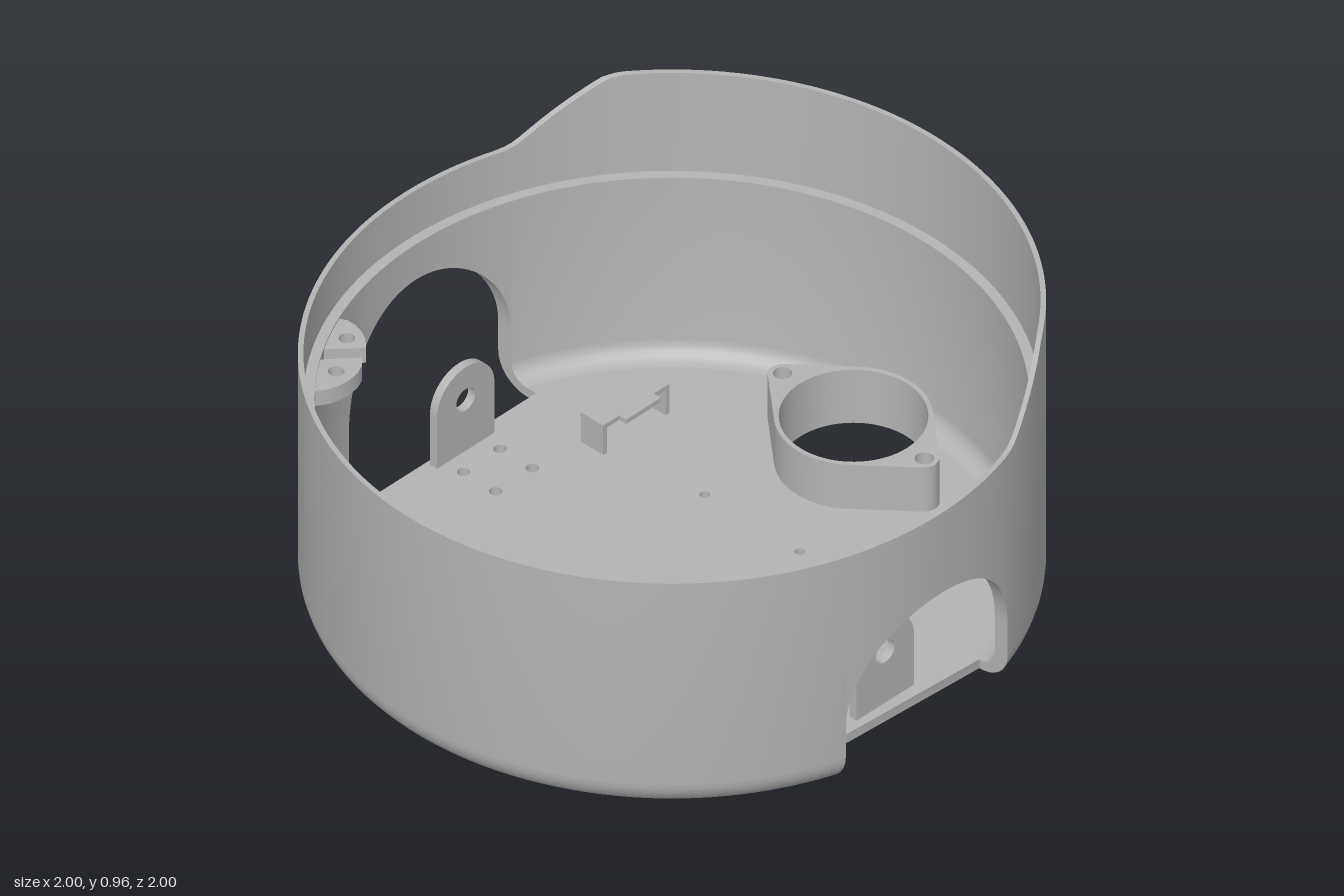
import * as THREE from 'three';
import { mergeGeometries, toCreasedNormals } from 'three/addons/utils/BufferGeometryUtils.js';

const HALF = 0.31;            // half width of the arched openings
const LEDGE = 0.63, R_OUT = 1, R_LIP = 0.985, R_IN = 0.955;

// Smooth curved faces, keep edges sharp (worked at a larger scale for precision)
function crease(geo) {
  geo.scale(10, 10, 10);
  const out = toCreasedNormals(geo, 0.5);
  return out.scale(0.1, 0.1, 0.1);
}

// Height of the rim: low, then a ramp up to the raised side
const RIM = [[0.3, 0.78], [0.34, 0.785], [0.37, 0.802], [0.55, 0.935], [0.575, 0.953], [0.61, 0.962]];
function rimHeight(x) {
  if (x <= RIM[0][0]) return RIM[0][1];
  for (let i = 1; i < RIM.length; i++) {
    const [x0, y0] = RIM[i - 1], [x1, y1] = RIM[i];
    if (x < x1) return y0 + (y1 - y0) * (x - x0) / (x1 - x0);
  }
  return RIM[RIM.length - 1][1];
}

// Skin a row of closed cross-sections, optionally closing both ends
function skin(sections, profile) {
  const pos = [];
  const put = (...pts) => pts.forEach((p) => pos.push(...p));
  const m = sections[0].length;
  for (let i = 0; i + 1 < sections.length; i++) {
    for (let j = 0; j < m; j++) {
      const k = (j + 1) % m, a = sections[i], b = sections[i + 1];
      put(a[j], b[j], b[k], a[j], b[k], a[k]);
    }
  }
  if (profile) {
    const first = sections[0], last = sections[sections.length - 1];
    for (const [a, b, c] of THREE.ShapeUtils.triangulateShape(profile, [])) {
      put(first[a], first[b], first[c], last[a], last[c], last[b]);
    }
  }
  const geo = new THREE.BufferGeometry();
  geo.setAttribute('position', new THREE.Float32BufferAttribute(pos, 3));
  return geo;
}

// Side wall between the two openings; side = 1 for +x, -1 for -x
function sideWall(side) {
  const outline = [];
  for (let i = 0; i <= 8; i++) {
    const a = i / 8 * Math.PI / 2;
    outline.push([0.9 + 0.1 * Math.sin(a), 0.1 - 0.1 * Math.cos(a)]);
  }
  outline.push([R_OUT, null], [R_LIP, null], [R_LIP, LEDGE], [R_IN, LEDGE]);
  for (let i = 0; i <= 5; i++) {
    const a = i / 5 * Math.PI / 2;
    outline.push([0.9 + 0.055 * Math.cos(a), 0.085 - 0.055 * Math.sin(a)]);
  }
  const sections = [], n = 128;
  for (let i = 0; i <= n; i++) {
    sections.push(outline.map(([r, y]) => {
      const edge = Math.asin(HALF / r);
      const t = edge + (Math.PI - 2 * edge) * i / n;
      const x = side * r * Math.sin(t);
      return [x, y ?? rimHeight(x), side * r * Math.cos(t)];
    }));
  }
  return skin(sections, outline.map(([r, y]) => new THREE.Vector2(r, y ?? 0.78)));
}

// Wall above an arched opening; side = 1 for front, -1 for back
function archWall(side) {
  const sections = [], n = 40;
  for (let i = 0; i <= n; i++) {
    const t = Math.PI * i / n, x = -HALF * Math.cos(t), y = 0.2 + HALF * Math.sin(t);
    const loop = [[R_OUT, y], [R_OUT, null], [R_LIP, null], [R_LIP, LEDGE], [R_IN, LEDGE], [R_IN, y]];
    sections.push(loop.map(([r, h]) =>
      [side * x, h ?? rimHeight(side * x), side * Math.sqrt(r * r - x * x)]));
  }
  return skin(sections);
}

function circle(x, y, r) {
  return new THREE.Path().absarc(x, y, r, 0, Math.PI * 2, true);
}

// Horizontal plate from a shape drawn in x and -z
function slab(shape, y, height) {
  const geo = new THREE.ExtrudeGeometry(shape, { depth: height, bevelEnabled: false, curveSegments: 32 });
  return crease(geo.rotateX(-Math.PI / 2).translate(0, y, 0));
}

export function createModel() {
  const group = new THREE.Group();
  const grey = new THREE.MeshStandardMaterial({ color: 0xb4b4b4 });
  grey.name = 'grey plastic';
  const add = (name, geo) => {
    const mesh = new THREE.Mesh(geo, grey);
    mesh.name = name;
    group.add(mesh);
    return mesh;
  };

  // Round shell with stepped lip and two arched openings
  add('shell', crease(mergeGeometries([sideWall(1), sideWall(-1), archWall(1), archWall(-1)])));

  // Floor with straight cuts at the openings
  const floor = new THREE.Shape();
  const a = Math.acos(HALF / 0.9);
  floor.moveTo(HALF, -0.81);
  floor.absarc(0, 0, 0.9, -a, a, false);
  floor.lineTo(HALF, 0.81);
  floor.lineTo(-HALF, 0.81);
  floor.absarc(0, 0, 0.9, Math.PI - a, Math.PI + a, false);
  floor.lineTo(-HALF, -0.81);
  floor.closePath();
  const drill = (x, z, r) => floor.holes.push(circle(x, -z, r));
  for (const s of [-1, 1]) {
    for (const z of [-0.71, -0.59, 0.585, 0.705]) drill(s * 0.07, z, 0.018);
    for (const z of [-0.18, 0.175]) drill(s * 0.31, z, 0.014);
    drill(s * 0.695, 0, 0.2);
    for (const z of [-0.265, 0.265]) drill(s * 0.695, z, 0.026);
  }
  for (const x of [-0.475, -0.345]) drill(x, -0.52, 0.014);
  for (const x of [-0.52, -0.2]) for (const z of [0.325, 0.645]) drill(x, z, 0.015);
  add('floor', slab(floor, 0, 0.03));

  // Raised collars with two screw ears around the large holes
  for (const s of [-1, 1]) {
    const cx = s * 0.695, ear = 0.262, phi = Math.asin((0.213 - 0.042) / ear);
    const collar = new THREE.Shape();
    collar.absarc(cx, 0, 0.213, -phi, phi, false);
    collar.absarc(cx, ear, 0.042, phi, Math.PI - phi, false);
    collar.absarc(cx, 0, 0.213, Math.PI - phi, Math.PI + phi, false);
    collar.absarc(cx, -ear, 0.042, Math.PI + phi, 2 * Math.PI - phi, false);
    collar.holes.push(circle(cx, 0, 0.2), circle(cx, 0.265, 0.026), circle(cx, -0.265, 0.026));
    add('collar', slab(collar, 0.03, 0.15));
  }

  // Upright lugs with a hole, behind each opening
  for (const s of [-1, 1]) {
    const lug = new THREE.Shape();
    lug.moveTo(-0.11, 0.03);
    lug.lineTo(0.11, 0.03);
    lug.absarc(0, 0.203, 0.11, 0, Math.PI, false);
    lug.closePath();
    lug.holes.push(circle(0, 0.203, 0.036));
    const geo = new THREE.ExtrudeGeometry(lug, { depth: 0.026, bevelEnabled: false, curveSegments: 32 });
    add('lug', crease(geo.translate(0, 0, s * 0.783 - 0.013)));
  }

  // Pairs of screw tabs under the ledge
  const tabs = [
    { hole: [-0.54, -0.727], pts: [[-0.675, -0.70], [-0.64, -0.706], [-0.61, -0.687], [-0.575, -0.677], [-0.54, -0.675],
      [-0.505, -0.681], [-0.475, -0.694], [-0.449, -0.719], [-0.54, -0.80], [-0.6, -0.76]] },
    { hole: [-0.417, -0.807], pts: [[-0.497, -0.83], [-0.497, -0.82], [-0.412, -0.741], [-0.385, -0.768], [-0.368, -0.8],
      [-0.36, -0.83], [-0.36, -0.86], [-0.378, -0.893], [-0.44, -0.865]] },
  ];
  for (const s of [-1, 1]) {
    for (const { hole, pts } of tabs) {
      const shape = new THREE.Shape(pts.map(([x, z]) => new THREE.Vector2(x, s * z)));
      shape.holes.push(circle(hole[0], s * hole[1], 0.022));
      add('screwTab', slab(shape, 0.575, 0.05));
    }
  }

  // Small bridge standing on the floor
  const block = (name, x0, x1, y0, y1, z0, z1) => add(name,
    new THREE.BoxGeometry(x1 - x0, y1 - y0, z1 - z0).translate((x0 + x1) / 2, (y0 + y1) / 2, (z0 + z1) / 2));
  block('bridgeSide', 0.243, 0.258, 0.03, 0.115, -0.578, -0.494);
  block('bridgeSide', 0.483, 0.498, 0.03, 0.115, -0.578, -0.494);
  block('bridgeTop', 0.243, 0.498, 0.115, 0.13, -0.578, -0.494);
  block('bridgeTongue', 0.305, 0.437, 0.115, 0.13, -0.494, -0.468);

  return group;
}
